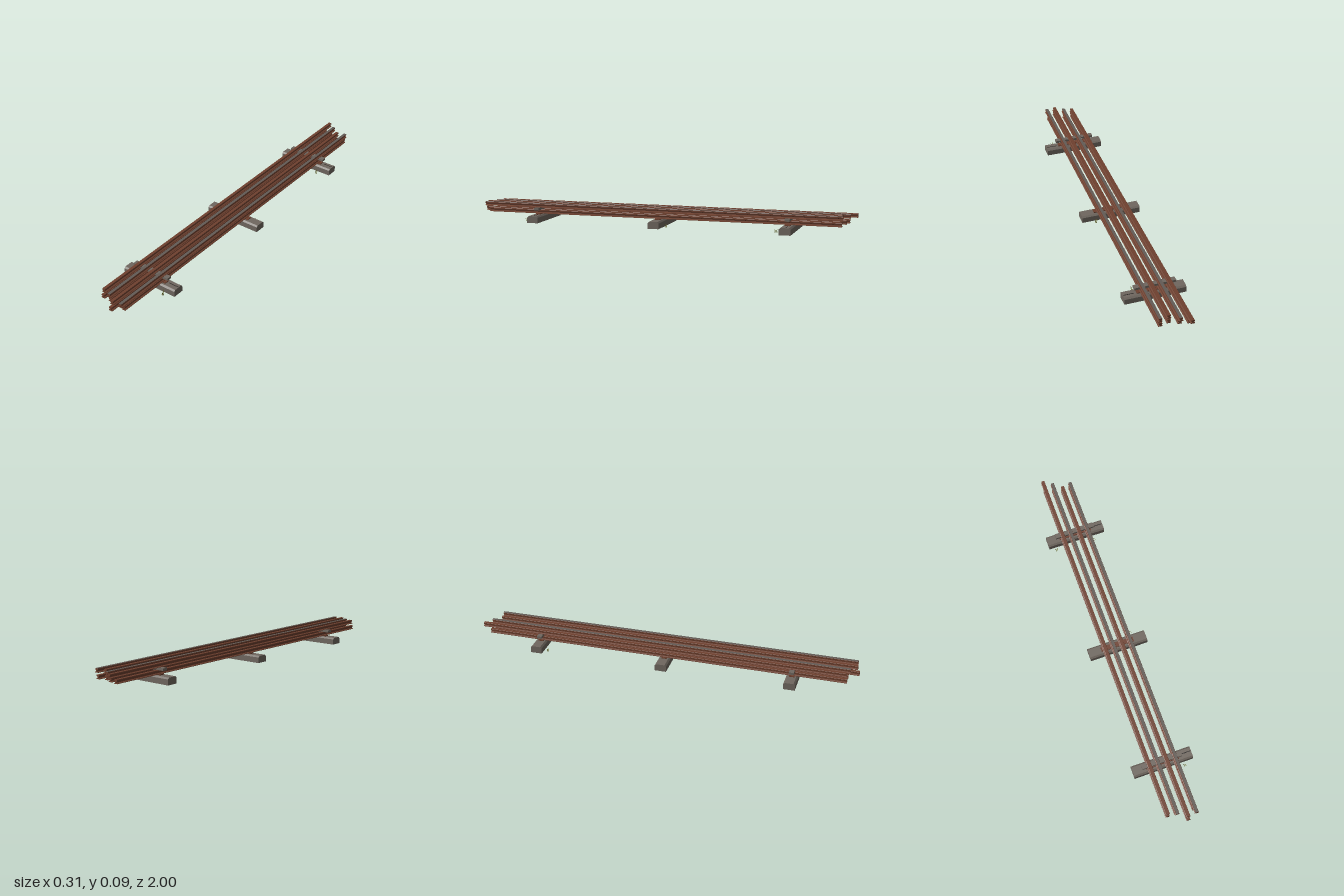
import * as THREE from 'three';

const mat = (name, color, side = THREE.FrontSide) => {
  const m = new THREE.MeshStandardMaterial({ color, side });
  m.name = name;
  return m;
};

export function createModel() {
  const model = new THREE.Group();
  const wood = mat('weathered wood', 0x6f675f);
  const rust = mat('rusty steel', 0x6e402e);
  const steel = mat('worn grey steel', 0x625b55);
  const dark = mat('dark crack', 0x2f2b28);
  const grass = mat('dry grass', 0x6a6a22, THREE.DoubleSide);

  const add = (parent, name, geo, material, x = 0, y = 0, z = 0) => {
    const m = new THREE.Mesh(geo, material);
    m.name = name;
    m.position.set(x, y, z);
    parent.add(m);
    return m;
  };

  // Rail cross-section: right half from foot to head, mirrored
  const half = [[0.0105, 0], [0.0105, 0.0025], [0.0035, 0.0055], [0.0032, 0.010],
    [0.0085, 0.0135], [0.0085, 0.019], [0.0075, 0.0205]];
  const section = new THREE.Shape([
    ...half.map(([x, y]) => new THREE.Vector2(x, y)),
    ...half.slice().reverse().map(([x, y]) => new THREE.Vector2(-x, y)),
  ]);

  function rail(name, x, y, z0, z1, worn) {
    const g = new THREE.Group();
    g.name = name;
    const geo = new THREE.ExtrudeGeometry(section, { depth: z1 - z0, bevelEnabled: false });
    add(g, 'railBody', geo, rust, 0, 0, z0);
    // Worn running surface
    if (worn) {
      add(g, 'railTop', new THREE.BoxGeometry(0.015, 0.0006, z1 - z0), steel, 0, 0.0206, (z0 + z1) / 2);
    }
    g.position.set(x, y, 0);
    model.add(g);
  }

  // Two staggered layers of four rails
  [[-0.071, -1, 0.945], [-0.026, -0.97, 0.96], [0.020, -0.935, 0.99], [0.066, -0.945, 0.985]]
    .forEach(([x, a, b], i) => rail('upperRail', x, 0.072, a, b, i % 2 === 1));
  [[-0.073, -0.96, 0.95], [-0.028, -0.95, 0.95], [0.018, -0.93, 1], [0.063, -0.94, 0.96]]
    .forEach(([x, a, b]) => rail('lowerRail', x, 0.0405, a, b, false));

  // Sleepers with chamfered upper edges, extruded along x
  const sleeperShape = new THREE.Shape([
    [-0.030, 0], [0.030, 0], [0.030, 0.029], [0.022, 0.0365], [-0.022, 0.0365], [-0.030, 0.029],
  ].map(([x, y]) => new THREE.Vector2(x, y)));
  const sleeperGeo = new THREE.ExtrudeGeometry(sleeperShape, { depth: 0.314, bevelEnabled: false });
  sleeperGeo.translate(0, 0, -0.157).rotateY(Math.PI / 2);

  [0.675, 0.008, -0.672].forEach((z, i) => {
    const g = new THREE.Group();
    g.name = 'sleeperStack';
    g.position.z = z;
    add(g, 'sleeper', sleeperGeo, wood);
    add(g, 'bearingPlate', new THREE.BoxGeometry(0.178, 0.005, 0.026), rust, -0.001, 0.0385, 0);
    // Spacer plank and split grain on the two outer sleepers
    if (i !== 1) {
      add(g, 'spacerPlank', new THREE.BoxGeometry(0.212, 0.012, 0.026), wood, -0.004, 0.0665, 0);
      add(g, 'grainCrack', new THREE.BoxGeometry(0.055, 0.001, 0.004), dark, 0.127, 0.0366, -0.004);
    }
    model.add(g);
  });

  // Grass tufts: fans of thin leaning blades
  function tuft(x, z) {
    const pos = [];
    const count = 9;
    for (let i = 0; i < count; i++) {
      const a = i * 2.4, r = 0.002 + 0.006 * (i / count);
      const cx = Math.cos(a), cz = Math.sin(a), w = 0.0013;
      const h = 0.018 + 0.009 * ((i * 5) % count) / count;
      pos.push(cx * r - cz * w, 0.002, cz * r + cx * w,
        cx * r + cz * w, 0.002, cz * r - cx * w,
        cx * r * 1.6, h, cz * r * 1.6);
    }
    const geo = new THREE.BufferGeometry();
    geo.setAttribute('position', new THREE.Float32BufferAttribute(pos, 3));
    geo.computeVertexNormals();
    add(model, 'grassTuft', geo, grass, x, 0, z);
  }
  [[-0.125, -0.62], [0.09, -0.615], [0.09, -0.042], [0.105, 0.728]].forEach(([x, z]) => tuft(x, z));

  return model;
}
